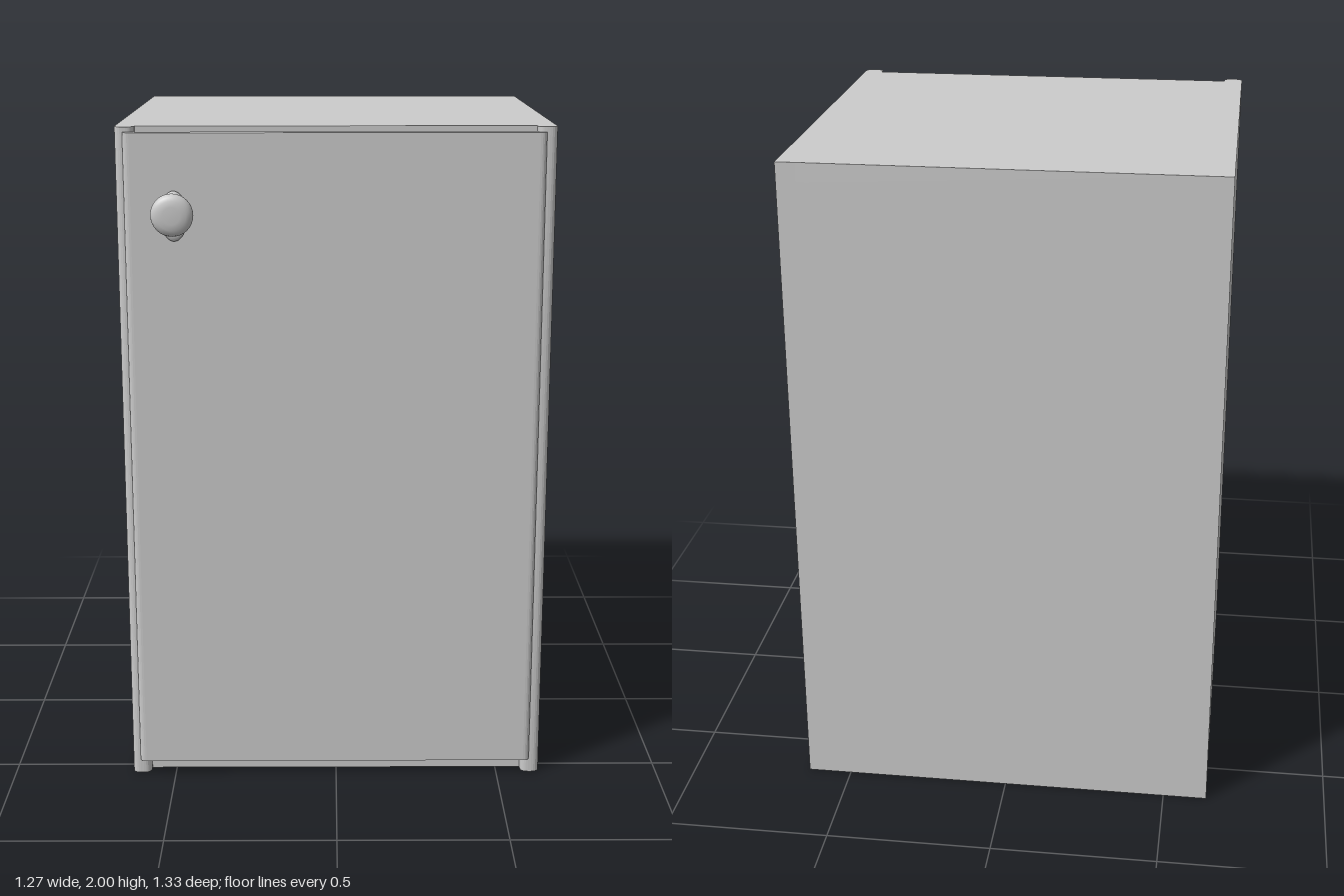
import * as THREE from 'three';

const material = new THREE.MeshStandardMaterial({ color: 0xcccccc });

function addMesh(parent, name, geometry, x = 0, y = 0, z = 0) {
  const mesh = new THREE.Mesh(geometry, material);
  mesh.name = name;
  mesh.position.set(x, y, z);
  parent.add(mesh);
  return mesh;
}

// Box given by its lower and upper limits on each axis
function addBox(parent, name, [x0, x1], [y0, y1], [z0, z1]) {
  return addMesh(parent, name, new THREE.BoxGeometry(x1 - x0, y1 - y0, z1 - z0),
    (x0 + x1) / 2, (y0 + y1) / 2, (z0 + z1) / 2);
}

// Plan outline with rounded front corners, extruded upward
function roundedPanel(x0, x1, z0, z1, radius, height) {
  const s = new THREE.Shape();
  s.moveTo(x0, -z0);
  s.lineTo(x0, -z1 + radius);
  s.quadraticCurveTo(x0, -z1, x0 + radius, -z1);
  s.lineTo(x1 - radius, -z1);
  s.quadraticCurveTo(x1, -z1, x1, -z1 + radius);
  s.lineTo(x1, -z0);
  s.closePath();
  const g = new THREE.ExtrudeGeometry(s, { depth: height, bevelEnabled: false, curveSegments: 6 });
  return g.rotateX(-Math.PI / 2);
}

export function createModel() {
  const model = new THREE.Group();
  model.name = 'cabinet';

  // Carcass: two side panels with rounded front edges, top, bottom and back
  const carcass = new THREE.Group();
  carcass.name = 'carcass';
  model.add(carcass);
  addMesh(carcass, 'rightSidePanel', roundedPanel(-0.634, -0.577, -0.667, 0.557, 0.024, 2));
  addMesh(carcass, 'leftSidePanel', roundedPanel(0.577, 0.634, -0.667, 0.557, 0.024, 2));
  addBox(carcass, 'topPanel', [-0.577, 0.577], [1.943, 2], [-0.667, 0.523]);
  addBox(carcass, 'bottomPanel', [-0.577, 0.577], [0, 0.057], [-0.667, 0.523]);
  addBox(carcass, 'backPanel', [-0.577, 0.577], [0.057, 1.943], [-0.667, -0.64]);

  // Door with softened vertical edges
  const door = new THREE.Group();
  door.name = 'door';
  model.add(door);
  addMesh(door, 'doorPanel', roundedPanel(-0.61, 0.602, 0.543, 0.575, 0.02, 1.938), 0, 0.047, 0);

  // Hinges behind the door on its left edge
  for (const y of [0.3, 1.7]) {
    const hinge = new THREE.Group();
    hinge.name = 'hinge';
    door.add(hinge);
    addBox(hinge, 'hingePlate', [0.492, 0.577], [y - 0.04, y + 0.04], [0.535, 0.544]);
    addBox(hinge, 'hingeNeck', [0.522, 0.54], [y - 0.02, y + 0.02], [0.525, 0.537]);
    addBox(hinge, 'hingeArm', [0.518, 0.548], [y - 0.02, y + 0.02], [0.515, 0.528]);
  }

  // Knob: oval backing plate, stem and domed cap
  const knob = new THREE.Group();
  knob.name = 'knob';
  knob.position.set(-0.466, 1.76, 0);
  model.add(knob);

  const plateProfile = [[0, 0.573], [0.039, 0.573], [0.039, 0.58], [0.036, 0.585], [0.03, 0.588], [0, 0.588]];
  const lathe = (points) => new THREE.LatheGeometry(
    points.map(([r, h]) => new THREE.Vector2(r, h)), 32).rotateX(Math.PI / 2);
  addMesh(knob, 'knobPlate', lathe(plateProfile), 0, -0.012, 0).scale.y = 1.86;

  const stem = new THREE.CylinderGeometry(0.025, 0.025, 0.06, 32).rotateX(Math.PI / 2);
  addMesh(knob, 'knobStem', stem, 0, 0, 0.612);

  const capProfile = [[0, 0.638], [0.058, 0.638], [0.061, 0.641], [0.061, 0.645],
    [0.058, 0.653], [0.052, 0.659], [0.042, 0.664], [0.025, 0.667], [0, 0.667]];
  addMesh(knob, 'knobCap', lathe(capProfile));

  return model;
}
